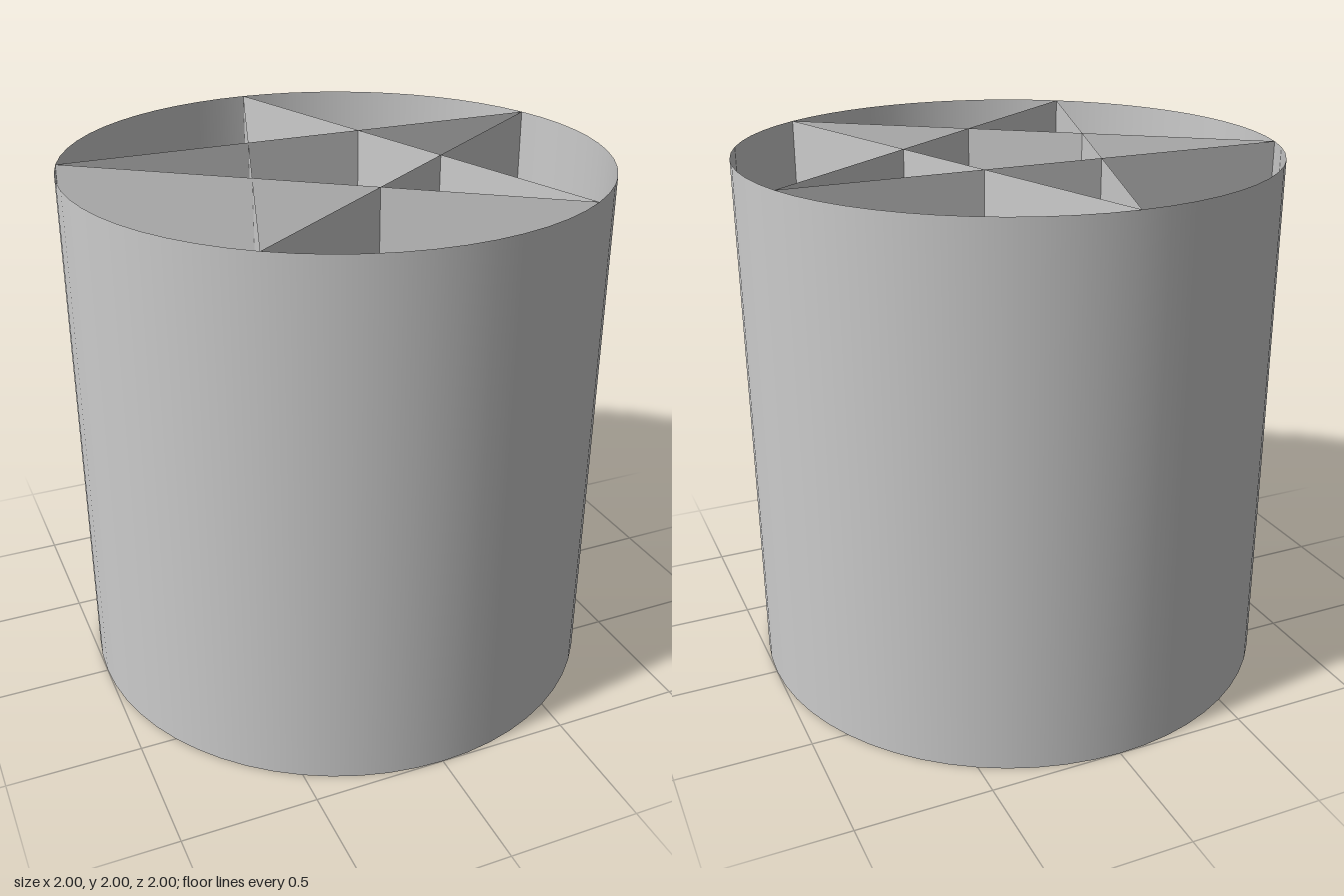
import * as THREE from 'three';

const RADIUS = 1;
const HEIGHT = 2;
const POINTS = 5;

export function createModel() {
  const model = new THREE.Group();
  const material = new THREE.MeshStandardMaterial({ color: 0xcccccc, side: THREE.DoubleSide });

  // Open round tube
  const shell = new THREE.Mesh(
    new THREE.CylinderGeometry(RADIUS, RADIUS, HEIGHT, 60, 1, true), material);
  shell.name = 'outerShell';
  shell.position.y = HEIGHT / 2;
  model.add(shell);

  // Five full-height sheets joining every second star point, one point at the back
  const star = new THREE.Group();
  star.name = 'starDividers';
  const starPoint = (i) => {
    const a = Math.PI + (i * 2 * Math.PI) / POINTS;
    return new THREE.Vector3(RADIUS * Math.sin(a), HEIGHT / 2, RADIUS * Math.cos(a));
  };
  for (let i = 0; i < POINTS; i++) {
    const a = starPoint(i);
    const b = starPoint(i + 2);
    const wall = new THREE.Mesh(new THREE.PlaneGeometry(a.distanceTo(b), HEIGHT), material);
    wall.name = `starWall${i + 1}`;
    wall.position.copy(a).add(b).multiplyScalar(0.5);
    wall.rotation.y = Math.atan2(-(b.z - a.z), b.x - a.x);
    star.add(wall);
  }
  model.add(star);
  return model;
}
